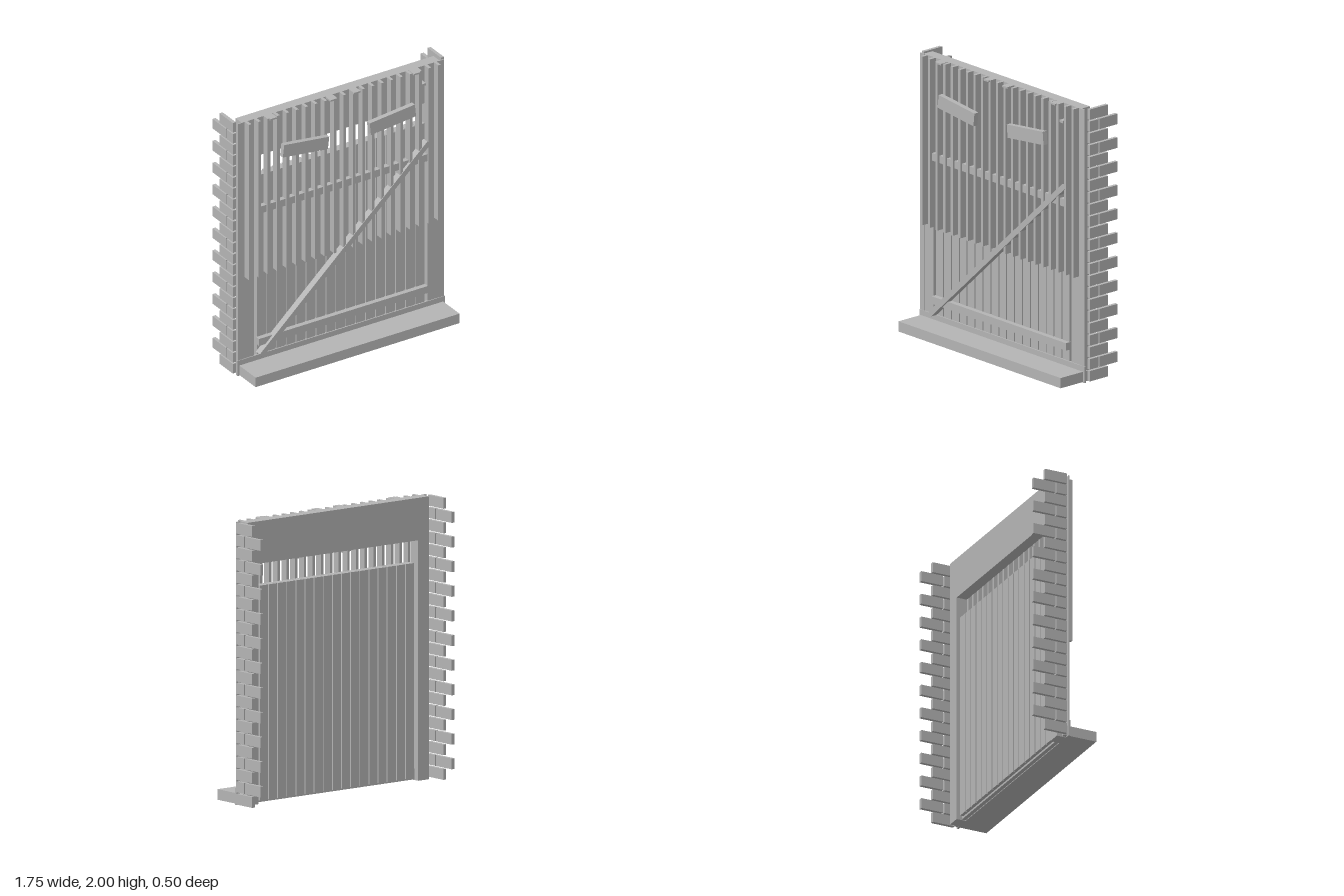
import * as THREE from 'three';

export function createModel() {
  const model = new THREE.Group();
  const grey = new THREE.MeshStandardMaterial({ color: 0xb4b4b4 });
  grey.name = 'plain grey';

  // box given by its limits on each axis
  function box(name, x0, x1, y0, y1, z0, z1, parent = model) {
    const mesh = new THREE.Mesh(new THREE.BoxGeometry(x1 - x0, y1 - y0, z1 - z0), grey);
    mesh.position.set((x0 + x1) / 2, (y0 + y1) / 2, (z0 + z1) / 2);
    mesh.name = name;
    parent.add(mesh);
    return mesh;
  }
  function group(name) {
    const g = new THREE.Group();
    g.name = name;
    model.add(g);
    return g;
  }

  // wall surround with a rectangular opening
  const wall = new THREE.Shape([[-0.82, 0], [-0.72, 0], [-0.72, 1.7], [0.72, 1.7],
    [0.72, 0], [0.82, 0], [0.82, 2], [-0.82, 2]].map(p => new THREE.Vector2(...p)));
  const surround = new THREE.Mesh(
    new THREE.ExtrudeGeometry(wall, { depth: 0.08, bevelEnabled: false }), grey);
  surround.position.z = -0.04;
  surround.name = 'surround';
  model.add(surround);

  // sill and threshold
  box('sill', -0.845, 0.845, 0.005, 0.08, 0, 0.255);
  box('threshold', -0.86, 0.86, 0, 0.12, 0.03, 0.046);

  // brick quoins and edge strips on both sides
  const bricks = group('quoins');
  for (const s of [-1, 1]) {
    const brick = (y, z0, z1) => box('brick', s * 0.8625 - 0.0125, s * 0.8625 + 0.0125,
      y, y + 0.076, z0, z1, bricks);
    for (let i = 0; i < 23; i++) {
      const y = 0.008 + i * 0.0871;
      if (i % 2 === 0) brick(y, -0.16, 0.01);
      else {
        brick(y, -0.07, 0.01);
        brick(y, -0.25, -0.08);
      }
    }
    box('edgeStrip', s * 0.835 - 0.02, s * 0.835 + 0.02, 0, 2, 0.034, 0.042);
  }

  // vertical planks filling the opening, with closed joints
  const planks = group('planks');
  const count = 17, pitch = 1.4 / count;
  for (let i = 0; i < count; i++) {
    const x = -0.7 + i * pitch;
    box('plank', x + 0.005, x + pitch - 0.005, 0.02, 1.54, -0.025, 0.038, planks);
  }
  box('plankJoints', -0.695, 0.695, 0.02, 1.535, -0.015, 0.028, planks);

  // rails across the planks
  box('lowerRail', -0.7, 0.7, 0.205, 0.26, 0.03, 0.075);
  box('upperRail', -0.7, 0.7, 1.255, 1.31, 0.03, 0.075);

  // narrow upright slats over the upper half
  const slats = group('slats');
  for (let i = 0; i < 21; i++) {
    const x = (i - 10) * 0.0785;
    box('slat', x - 0.011, x + 0.011, 0.765, 2, 0.038, 0.092, slats);
  }

  // diagonal brace
  const a = new THREE.Vector2(-0.695, 0.135), b = new THREE.Vector2(0.695, 1.41);
  const half = a.distanceTo(b) / 2;
  const brace = box('brace', -half, half, -0.02, 0.02, 0.046, 0.097);
  brace.position.x = (a.x + b.x) / 2;
  brace.position.y = (a.y + b.y) / 2;
  brace.rotation.z = Math.atan2(b.y - a.y, b.x - a.x);

  // tilted boards
  for (const s of [-1, 1]) {
    const board = box('tiltedBoard', s * 0.36 - 0.188, s * 0.36 + 0.188, 1.672, 1.768, 0.115, 0.152);
    board.rotation.z = s * (s < 0 ? 0.12 : 0.1);
  }

  // clips on the top edge
  for (const x of [-0.598, -0.1, 0.095, 0.593])
    box('topClip', x - 0.028, x + 0.028, 1.988, 2, -0.02, 0.105);

  // small latch
  box('latch', 0.643, 0.678, 1.868, 1.885, 0.04, 0.085);

  return model;
}
